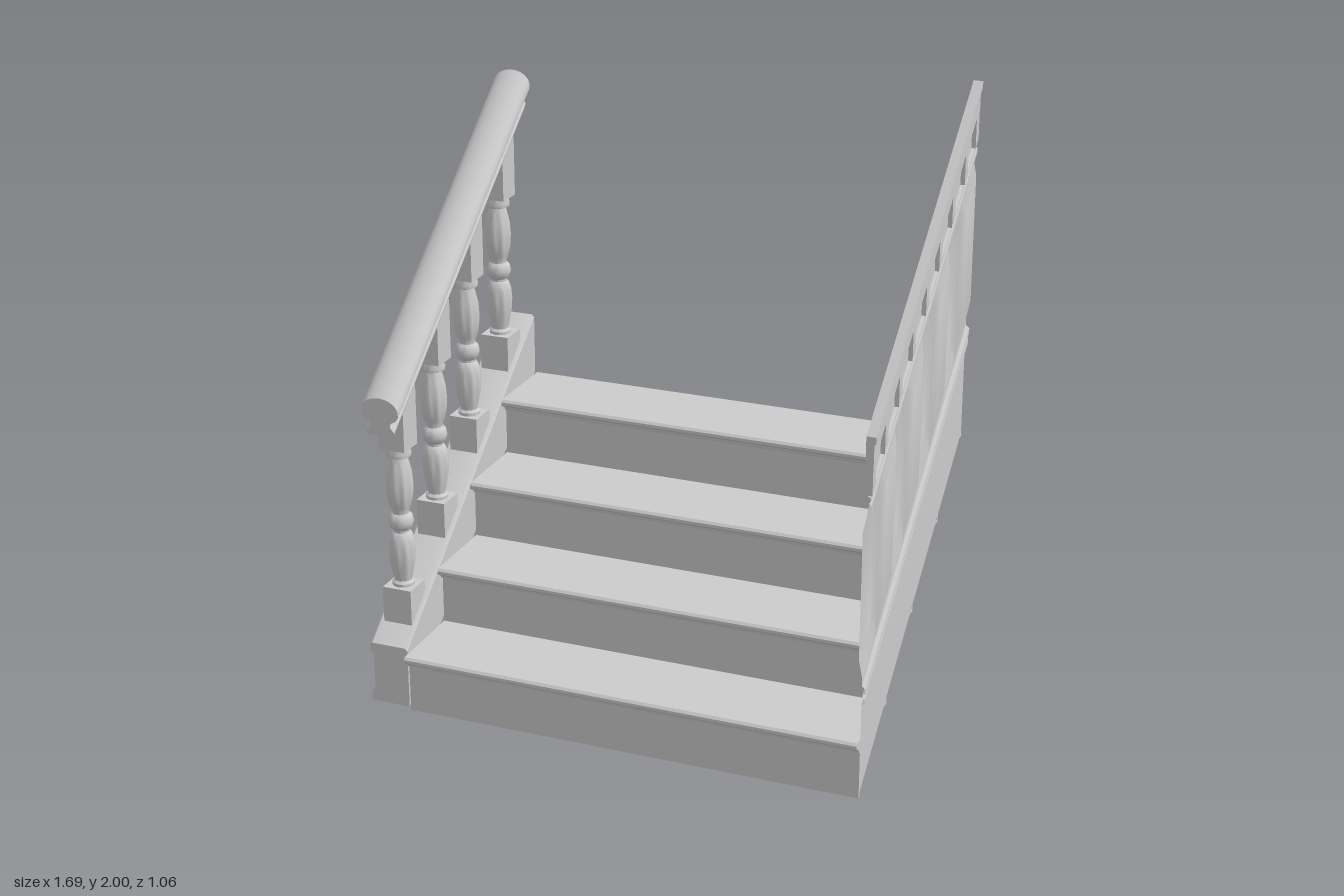
import * as THREE from 'three';
import { toCreasedNormals } from 'three/addons/utils/BufferGeometryUtils.js';

const SLOPE = 0.798, FRONT = 0.49, BACK = -0.525;
const rise = (z) => SLOPE * (FRONT - z);
const material = new THREE.MeshStandardMaterial({ color: 0xcccccc, side: THREE.DoubleSide });

function add(parent, name, geometry, x = 0, y = 0, z = 0) {
  const mesh = new THREE.Mesh(geometry, material);
  mesh.name = name;
  mesh.position.set(x, y, z);
  parent.add(mesh);
  return mesh;
}

const shapeOf = (points) => new THREE.Shape(points.map(([x, y]) => new THREE.Vector2(x, y)));

// Lift each vertex to follow the pitch of the stairs
function shear(geometry) {
  const p = geometry.attributes.position;
  for (let i = 0; i < p.count; i++) p.setY(i, p.getY(i) + 0.01 + rise(p.getZ(i)));
  return toCreasedNormals(geometry, 0.6);
}

// Cross-section in (x, height above pitch line), run from back to front
function pitched(points) {
  const g = new THREE.ExtrudeGeometry(shapeOf(points), { depth: FRONT - BACK, bevelEnabled: false });
  return shear(g.translate(0, 0, BACK));
}

// One step: riser, rounded nosing and tread
function stepGeometry(bottom) {
  const g = new THREE.ExtrudeGeometry(shapeOf([
    [0.49, bottom], [0.49, 0.158], [0.5, 0.163], [0.504, 0.178], [0.518, 0.18], [0.526, 0.187],
    [0.526, 0.197], [0.519, 0.205], [0.235, 0.205], [0.235, 0.196], [0.482, 0.196], [0.482, bottom],
  ]), { depth: 1.525, bevelEnabled: false });
  return toCreasedNormals(g.rotateY(-Math.PI / 2).translate(0.825, 0, 0), 0.6);
}

// Wall sheet with beads and alternately raised and sunk panels
function wallGeometry() {
  const rows = [ // height, offset, panel depth
    [0, 0, 0], [0.31, 0, 0], [0.315, 0.01, 0], [0.33, 0.01, 0], [0.335, 0.002, 0], [0.345, 0.002, 0],
    [0.35, 0.012, 0], [0.365, 0.012, 0], [0.375, 0, 0], [0.4, 0, 0], [0.46, 0, 0.012], [0.875, 0, 0.012],
    [0.935, 0, 0], [0.945, 0, 0], [0.95, 0.012, 0], [0.965, 0.012, 0], [0.97, 0.004, 0],
    [0.978, 0.01, 0], [0.988, 0.01, 0], [0.994, 0, 0], [1.1, 0, 0],
  ];
  const columns = [[FRONT, -1]]; // z, direction of panel
  for (let i = 0; i < 7; i++) {
    const z = 0.37 - 0.1283 * i, s = i % 2 ? 1 : -1;
    columns.push([z + 0.015, s], [z, 0], [z - 0.015, -s]);
  }
  columns.push([BACK, 1]);
  const position = [], index = [], n = columns.length;
  rows.forEach(([v, offset, depth], r) => columns.forEach(([z, s], c) => {
    position.push(0.825 + offset + s * depth, v, z);
    if (r && c) {
      const d = r * n + c, a = d - n - 1, b = d - n, e = d - 1;
      index.push(a, b, d, a, d, e);
    }
  }));
  const g = new THREE.BufferGeometry();
  g.setAttribute('position', new THREE.Float32BufferAttribute(position, 3));
  g.setIndex(index);
  return shear(g);
}

// Turned shaft with two fluted vases and a ball between
function shaftGeometry() {
  const profile = [
    [0.036, 0.3], [0.036, 0.31], [0.028, 0.318], [0.034, 0.34], [0.042, 0.38], [0.045, 0.42], [0.042, 0.455],
    [0.034, 0.48], [0.027, 0.487], [0.027, 0.495], [0.037, 0.505], [0.041, 0.523], [0.037, 0.543],
    [0.027, 0.552], [0.027, 0.56], [0.034, 0.575], [0.043, 0.61], [0.045, 0.65], [0.042, 0.69],
    [0.034, 0.725], [0.028, 0.745], [0.04, 0.75], [0.042, 0.762], [0.038, 0.775], [0.038, 0.785],
  ].map(([r, y]) => new THREE.Vector2(r, y));
  const g = new THREE.LatheGeometry(profile, 48), p = g.attributes.position;
  for (let i = 0; i < p.count; i++) {
    const x = p.getX(i), y = p.getY(i), z = p.getZ(i);
    if ((y > 0.33 && y < 0.47) || (y > 0.57 && y < 0.73)) {
      const k = 0.96 + 0.05 * Math.cos(8 * Math.atan2(z, x));
      p.setXYZ(i, x * k, y, z * k);
    }
  }
  return toCreasedNormals(g, 0.7);
}

export function createModel() {
  const model = new THREE.Group();
  model.name = 'staircase';

  // Steps
  const steps = new THREE.Group();
  steps.name = 'steps';
  model.add(steps);
  for (let i = 0; i < 4; i++) add(steps, 'step', stepGeometry(i ? -0.008 : 0), 0, 0.2035 * i, -0.255 * i);

  // Panelled wall with blocks under a flat top rail
  const wall = new THREE.Group();
  wall.name = 'panelledWall';
  model.add(wall);
  add(wall, 'wallPanels', wallGeometry());
  add(wall, 'wallTopRail', pitched([
    [0.815, 1.095], [0.84, 1.095], [0.84, 1.155], [0.846, 1.16], [0.846, 1.18], [0.815, 1.18],
  ]));
  for (let i = 0; i < 9; i++) {
    const z = Math.max(BACK + 0.015, Math.min(FRONT - 0.015, 0.49 - 0.127 * i));
    add(wall, 'wallBlock', shear(new THREE.BoxGeometry(0.02, 0.1, 0.03).translate(0.829, 1.045, z)));
  }

  // Pitched stringer below the balusters
  add(model, 'stringer', pitched([
    [-0.705, 0], [-0.705, 0.2], [-0.715, 0.208], [-0.832, 0.208], [-0.84, 0.2], [-0.84, 0.178], [-0.828, 0.165],
    [-0.828, 0.045], [-0.84, 0.03], [-0.84, 0],
  ]));

  // Rounded handrail on a narrow neck
  const half = [[0.045, 0.94], [0.05, 0.955], [0.036, 0.972], [0.036, 0.985], [0.055, 0.995], [0.065, 1.01]];
  for (let i = 0; i <= 8; i++) {
    const a = (i / 8) * Math.PI / 2;
    half.push([0.065 * Math.cos(a), 1.02 + 0.046 * Math.sin(a)]);
  }
  const other = half.slice(0, -1).reverse().map(([x, y]) => [-x, y]);
  add(model, 'handrail', pitched([...half, ...other].map(([x, y]) => [x - 0.77, y])));

  // Balusters, with a round stud on the stringer and the wall beside each
  const shaft = shaftGeometry();
  const lowerBlock = new THREE.BoxGeometry(0.1, 0.15, 0.1);
  const upperBlock = new THREE.BoxGeometry(0.09, 0.2, 0.09);
  const stud = new THREE.SphereGeometry(0.018, 16, 10).scale(0.7, 1, 1);
  for (let i = 0; i < 4; i++) {
    const z = 0.375 - 0.255 * i;
    const baluster = new THREE.Group();
    baluster.name = 'baluster';
    baluster.position.set(-0.77, rise(z), z);
    model.add(baluster);
    add(baluster, 'balusterBase', lowerBlock, 0, 0.225, 0);
    add(baluster, 'balusterShaft', shaft);
    add(baluster, 'balusterTop', upperBlock, 0, 0.88, 0);
    add(model, 'stringerStud', stud, -0.836, rise(z + 0.01) + 0.105, z + 0.01);
    add(wall, 'wallStud', stud, 0.82, rise(z - 0.055) + 1.13, z - 0.055);
  }
  return model;
}
